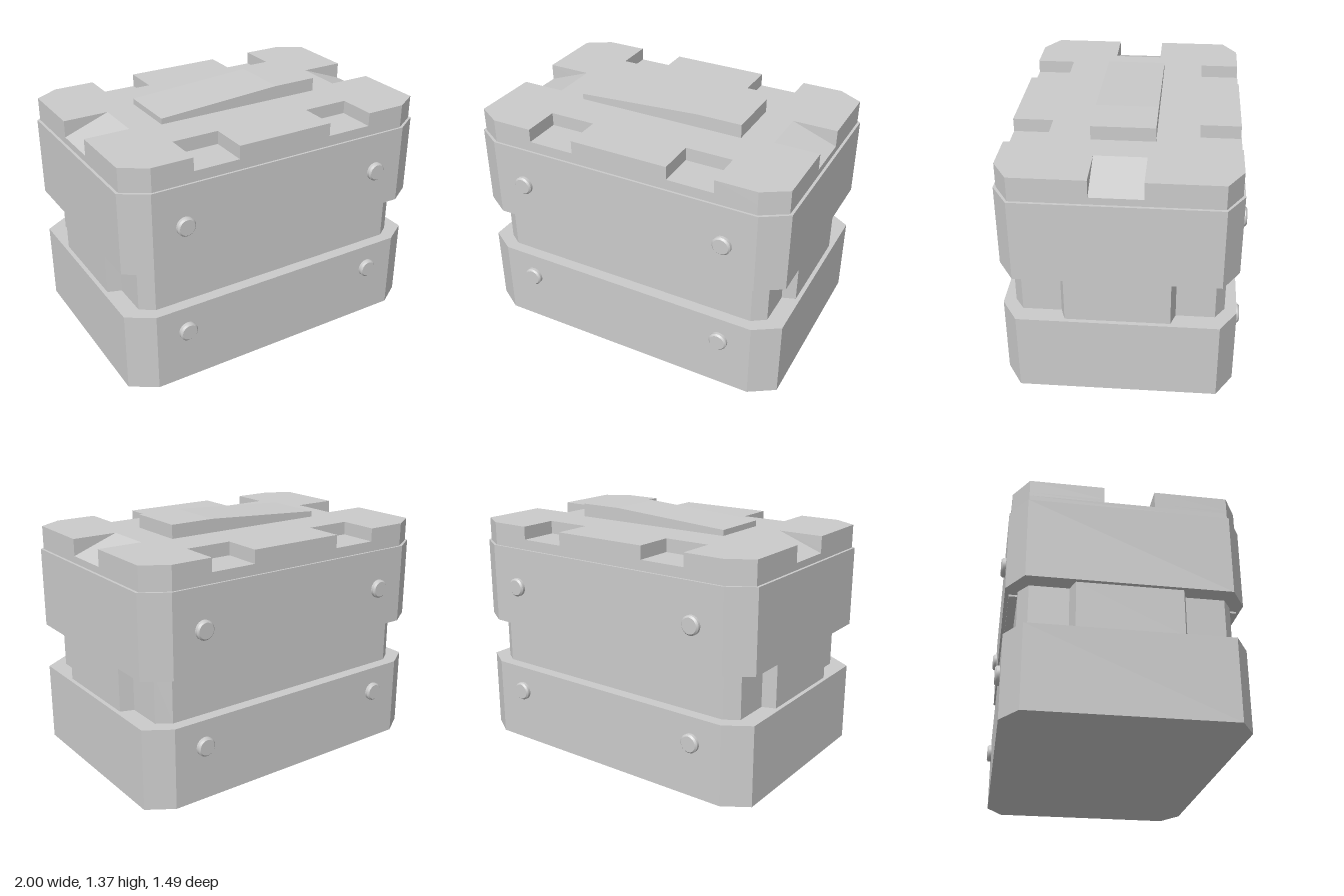
import * as THREE from 'three';
import { toCreasedNormals } from 'three/addons/utils/BufferGeometryUtils.js';

const mat = new THREE.MeshStandardMaterial({ color: 0xcccccc });

// Four-fold symmetric outline from one quadrant, listed from the +x end towards +z
function mirrored(quarter) {
  const back = [...quarter].reverse();
  return [
    ...quarter,
    ...back.map(([x, z]) => [-x, z]),
    ...quarter.map(([x, z]) => [-x, -z]),
    ...back.map(([x, z]) => [x, -z]),
  ];
}

// Plan outline raised between two heights
function slab(name, quarter, y0, y1) {
  const shape = new THREE.Shape(mirrored(quarter).map(([x, z]) => new THREE.Vector2(x, z)));
  const geo = new THREE.ExtrudeGeometry(shape, { depth: y1 - y0, bevelEnabled: false });
  geo.rotateX(-Math.PI / 2).translate(0, y0, 0);
  const mesh = new THREE.Mesh(geo, mat);
  mesh.name = name;
  return mesh;
}

// Side profile in x and y, extruded across z
function prism(name, profile, width) {
  const shape = new THREE.Shape(profile.map(([x, y]) => new THREE.Vector2(x, y)));
  const geo = new THREE.ExtrudeGeometry(shape, { depth: width, bevelEnabled: false });
  geo.translate(0, 0, -width / 2);
  const mesh = new THREE.Mesh(geo, mat);
  mesh.name = name;
  return mesh;
}

export function createModel() {
  const model = new THREE.Group();
  const crate = new THREE.Group();
  crate.name = 'crate';
  crate.rotation.y = THREE.MathUtils.degToRad(10);
  model.add(crate);

  // Two chamfered blocks
  const body = [[0.92, 0.53], [0.78, 0.62]];
  crate.add(slab('lowerBlock', body, 0, 0.45), slab('upperBlock', body, 0.71, 1.16));

  // Recessed waist with a tapered bulge at each end
  const waist = [[0.897, 0.275], [0.825, 0.3], [0.825, 0.505], [0.75, 0.556]];
  crate.add(slab('waist', waist, 0.45, 0.71));

  // Thin lip under the upper block
  const lip = new THREE.Mesh(new THREE.BoxGeometry(1.434, 0.01, 1.2), mat);
  lip.name = 'lip';
  lip.position.y = 0.705;
  crate.add(lip);

  // Lid in layers: plain base, end cut-outs, then end and long-side cut-outs
  const corner = [[0.905, 0.525], [0.77, 0.608]];
  const endCut = [[0.655, 0.135], [0.905, 0.135]];
  const sideCut = [[0.54, 0.608], [0.54, 0.392], [0.278, 0.392], [0.278, 0.608]];
  crate.add(
    slab('lidBase', corner, 1.16, 1.198),
    slab('lidMiddle', [...endCut, ...corner], 1.198, 1.217),
    slab('lidTop', [...endCut, ...corner, ...sideCut], 1.217, 1.29),
  );

  // Ramps in the end cut-outs
  for (const side of [1, -1]) {
    const ramp = prism('endRamp', [[0.655, 1.198], [0.905, 1.198], [0.655, 1.29]], 0.27);
    if (side < 0) ramp.rotation.y = Math.PI;
    crate.add(ramp);
  }

  // Raised wedge plate on the lid
  crate.add(prism('topPlate',
    [[-0.485, 1.29], [0.485, 1.29], [0.485, 1.365], [0.23, 1.365], [-0.485, 1.322]], 0.336));

  // Bolts on the long sides
  const profile = [[0.052, 0], [0.052, 0.016], [0.043, 0.025], [0, 0.025]];
  const boltGeo = toCreasedNormals(
    new THREE.LatheGeometry(profile.map(([r, y]) => new THREE.Vector2(r, y)), 24), 0.5);
  boltGeo.rotateX(Math.PI / 2);
  for (const side of [1, -1])
    for (const x of [-0.6, 0.6])
      for (const y of [0.305, 0.938]) {
        const bolt = new THREE.Mesh(boltGeo, mat);
        bolt.name = 'bolt';
        bolt.position.set(x, y, side * 0.62);
        if (side < 0) bolt.rotation.y = Math.PI;
        crate.add(bolt);
      }

  return model;
}
